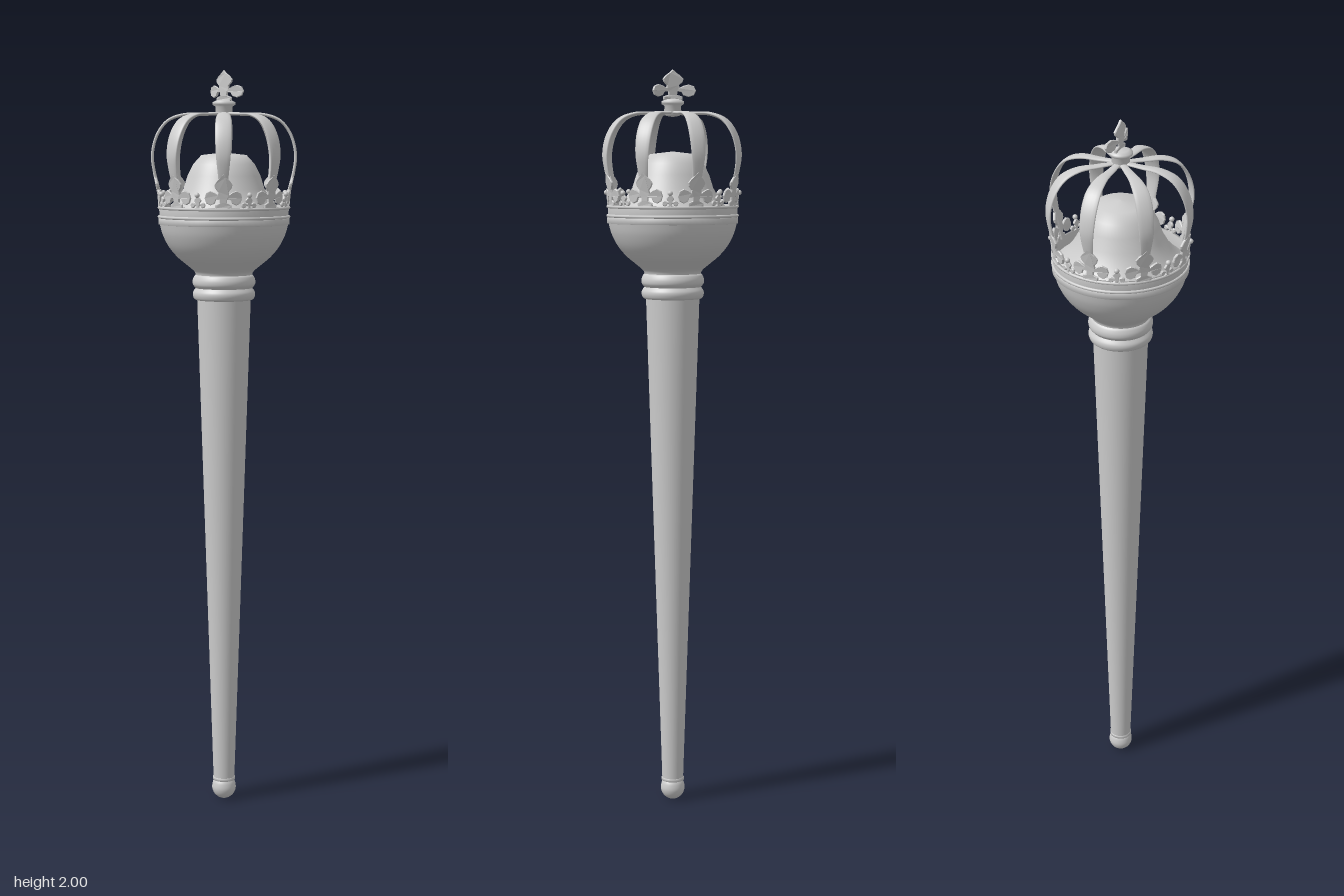
import * as THREE from 'three';

const metal = new THREE.MeshStandardMaterial({ color: 0xcccccc, side: THREE.DoubleSide });

function add(parent, name, geometry) {
  const mesh = new THREE.Mesh(geometry, metal);
  mesh.name = name;
  parent.add(mesh);
  return mesh;
}

// Turned part; profile runs bottom to top as [radius, height], optionally smoothed
function turned(parent, name, profile, smooth = false) {
  let pts = profile.map(([r, y]) => new THREE.Vector2(r, y));
  if (smooth) pts = new THREE.SplineCurve(pts).getPoints(profile.length * 5);
  pts.forEach((p) => { p.x = Math.max(p.x, 0); });
  return add(parent, name, new THREE.LatheGeometry(pts, 64));
}

// Lily ornament: mirrored outline, extruded, then wrapped on a cylinder and leaned outward
const lilyHalf = [
  [0.13, 0], [0.25, 0.04], [0.25, 0.14], [0.11, 0.2], [0.12, 0.3], [0.22, 0.29], [0.27, 0.18],
  [0.4, 0.13], [0.53, 0.19], [0.58, 0.33], [0.53, 0.47], [0.4, 0.53], [0.28, 0.49], [0.17, 0.42],
  [0.16, 0.5], [0.25, 0.61], [0.27, 0.7], [0.19, 0.81], [0.08, 0.91],
];
function lily(width, height, radius, lean, depth = 0.007) {
  const sx = width / 1.16;
  const right = lilyHalf.map(([x, y]) => new THREE.Vector2(x * sx, y * height));
  const left = right.map((p) => new THREE.Vector2(-p.x, p.y)).reverse();
  const shape = new THREE.Shape([...right, new THREE.Vector2(0, height), ...left]);
  const geo = new THREE.ExtrudeGeometry(shape, {
    depth: depth * 0.4, bevelThickness: depth * 0.3, bevelSize: depth * 0.2,
    bevelOffset: -depth * 0.2, bevelSegments: 1,
  });
  const pos = geo.attributes.position;
  for (let i = 0; i < pos.count; i++) {
    const y = pos.getY(i);
    const a = pos.getX(i) / radius;
    const r = radius + pos.getZ(i) - depth / 2 + lean * (y / height) ** 2;
    pos.setXYZ(i, r * Math.sin(a), y, r * Math.cos(a));
  }
  geo.computeVertexNormals();
  return geo;
}

// Arch band: flat oval sections swept from the hub out and down to the rim
function archBand() {
  const path = new THREE.CatmullRomCurve3([
    [0.01, 1.888], [0.06, 1.886], [0.11, 1.884], [0.15, 1.868], [0.178, 1.83],
    [0.19, 1.78], [0.186, 1.74], [0.174, 1.69], [0.166, 1.645],
  ].map(([r, y]) => new THREE.Vector3(0, y, r)));
  const halfWidth = new THREE.SplineCurve([
    [0, 0.009], [0.2, 0.014], [0.42, 0.021], [0.58, 0.02], [0.8, 0.013], [1, 0.007],
  ].map(([t, w]) => new THREE.Vector2(t, w)));
  const steps = 40, sides = 12, verts = [], index = [];
  for (let k = 0; k <= steps; k++) {
    const t = k / steps;
    const p = path.getPointAt(t), d = path.getTangentAt(t);
    const w = halfWidth.getPoint(t).y;
    for (let s = 0; s < sides; s++) {
      const a = (s / sides) * Math.PI * 2;
      const h = Math.sin(a) * 0.004;
      verts.push(Math.cos(a) * w, p.y + d.z * h, p.z - d.y * h);
      if (k === steps) continue;
      const i = k * sides + s, j = k * sides + ((s + 1) % sides);
      index.push(i, j, i + sides, j, j + sides, i + sides);
    }
  }
  const geo = new THREE.BufferGeometry();
  geo.setAttribute('position', new THREE.Float32BufferAttribute(verts, 3));
  geo.setIndex(index);
  geo.computeVertexNormals();
  return geo;
}

export function createModel() {
  const model = new THREE.Group();
  model.name = 'sceptre';

  // Handle
  turned(model, 'endKnob', [[0, 0], [0.014, 0.003], [0.027, 0.014], [0.033, 0.03], [0.031, 0.046], [0.026, 0.056]], true);
  turned(model, 'knobRing', [[0.026, 0.053], [0.031, 0.055], [0.031, 0.062], [0.028, 0.064]]);
  turned(model, 'shaft', [[0.029, 0.06], [0.072, 1.4]]);

  // Collar of two rounded rings
  turned(model, 'lowerCollar', [[0.06, 1.395], [0.077, 1.396], [0.083, 1.405], [0.083, 1.416], [0.076, 1.427]], true);
  turned(model, 'upperCollar', [[0.076, 1.427], [0.083, 1.436], [0.084, 1.447], [0.08, 1.458], [0.075, 1.463]], true);

  // Bowl and its rim
  turned(model, 'bowl', [
    [0.075, 1.46], [0.08, 1.472], [0.1, 1.489], [0.125, 1.51], [0.148, 1.538], [0.164, 1.57], [0.172, 1.6],
  ], true);
  turned(model, 'bowlRim', [[0.168, 1.596], [0.175, 1.597], [0.175, 1.612], [0.17, 1.614]]);

  // Inner dome with a flattened crown
  turned(model, 'dome', [
    [0.172, 1.612], [0.152, 1.628], [0.128, 1.655], [0.108, 1.69], [0.097, 1.725], [0.082, 1.755], [0.06, 1.779], [0, 1.786],
  ]);

  // Crown circlet
  const crown = new THREE.Group();
  crown.name = 'crown';
  model.add(crown);
  turned(crown, 'circlet', [
    [0.168, 1.612], [0.172, 1.612], [0.173, 1.645], [0.168, 1.645], [0.168, 1.612],
  ]);
  for (const y of [1.617, 1.641]) {
    const ring = add(crown, 'circletBead', new THREE.TorusGeometry(0.173, 0.004, 8, 64));
    ring.rotation.x = Math.PI / 2;
    ring.position.y = y;
  }

  // Eight arches and lilies, with small lilies and pearls between
  const arch = archBand();
  const bigLily = lily(0.098, 0.093, 0.174, 0.014);
  const smallLily = lily(0.042, 0.036, 0.174, 0.002);
  const pearl = new THREE.SphereGeometry(0.007, 12, 8);
  for (let i = 0; i < 8; i++) {
    const a = (i * Math.PI) / 4, b = a + Math.PI / 8;
    add(crown, 'arch', arch).rotation.y = a;
    const big = add(crown, 'lily', bigLily);
    big.rotation.y = a;
    big.position.y = 1.64;
    const small = add(crown, 'smallLily', smallLily);
    small.rotation.y = b;
    small.position.y = 1.64;
    add(crown, 'pearl', pearl).position.set(0.177 * Math.sin(b), 1.678, 0.177 * Math.cos(b));
  }

  // Hub where the arches meet
  turned(crown, 'hub', [
    [0, 1.876], [0.018, 1.879], [0.023, 1.888], [0.022, 1.905], [0.03, 1.91], [0.03, 1.917], [0.02, 1.922], [0, 1.925],
  ]);

  // Finial lily, gently curved
  const finial = add(crown, 'finial', lily(0.128, 0.082, 0.15, 0));
  finial.position.set(0, 1.918, -0.148);
  return model;
}
